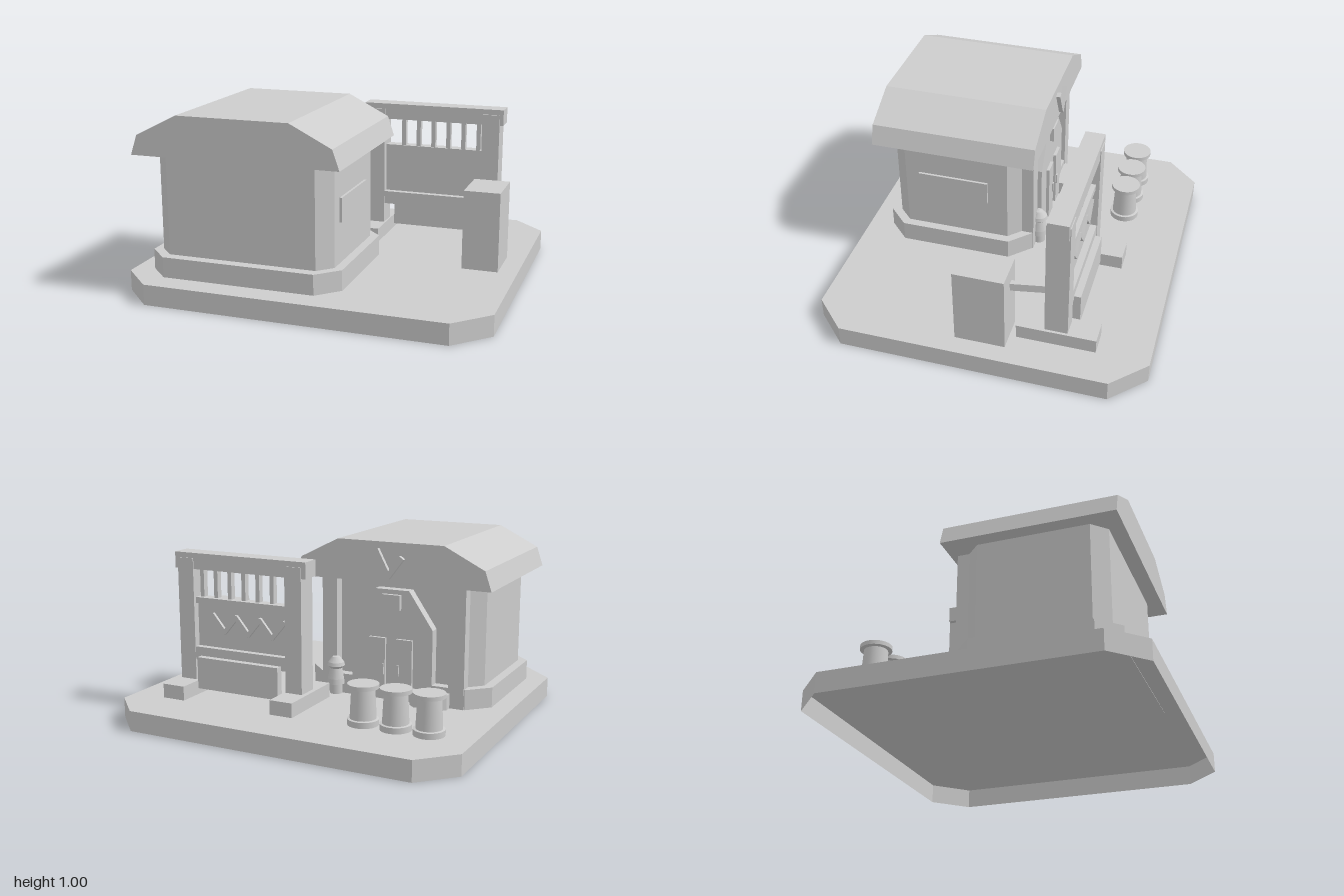
import * as THREE from 'three';

export function createModel() {
  const model = new THREE.Group();
  const grey = new THREE.MeshStandardMaterial({ color: 0xcccccc, side: THREE.DoubleSide });
  grey.name = 'plainGrey';

  const add = (name, geometry, parent = model) => {
    const mesh = new THREE.Mesh(geometry, grey);
    mesh.name = name;
    parent.add(mesh);
    return mesh;
  };
  const group = (name) => {
    const g = new THREE.Group();
    g.name = name;
    model.add(g);
    return g;
  };
  // Box given by its limits on each axis
  const box = (name, x0, x1, y0, y1, z0, z1, parent) => {
    const mesh = add(name, new THREE.BoxGeometry(x1 - x0, y1 - y0, z1 - z0), parent);
    mesh.position.set((x0 + x1) / 2, (y0 + y1) / 2, (z0 + z1) / 2);
  };
  const outline = (points) => new THREE.Shape(points.map(([x, y]) => new THREE.Vector2(x, y)));
  // Outline in x and y, extruded from z0 to z1
  const slab = (name, points, z0, z1, parent) => {
    const g = new THREE.ExtrudeGeometry(outline(points), { depth: z1 - z0, bevelEnabled: false });
    return add(name, g.translate(0, 0, z0), parent);
  };
  // Outline in x and -z, extruded upwards
  const upright = (name, points, y0, y1, parent) => {
    const mesh = slab(name, points, y0, y1, parent);
    mesh.geometry.rotateX(-Math.PI / 2);
    return mesh;
  };
  // Rectangle with cut corners, counter-clockwise
  const cutRect = (w, d, cut) => [[w - cut, -d], [w, cut - d], [w, d - cut], [w - cut, d],
    [cut - w, d], [-w, d - cut], [-w, cut - d], [cut - w, -d]];
  const octagon = (name, x0, x1, z0, z1, y0, y1, cut, parent) => {
    const pts = cutRect((x1 - x0) / 2, (z1 - z0) / 2, cut);
    upright(name, pts, y0, y1, parent).position.set((x0 + x1) / 2, 0, (z0 + z1) / 2);
  };
  // Flat bar between two points in x and y
  const bar = (name, a, b, z0, z1, width, parent) => {
    const dx = b[0] - a[0], dy = b[1] - a[1];
    const mesh = add(name, new THREE.BoxGeometry(Math.hypot(dx, dy) + width * 0.6, width, z1 - z0), parent);
    mesh.position.set((a[0] + b[0]) / 2, (a[1] + b[1]) / 2, (z0 + z1) / 2);
    mesh.rotation.z = Math.atan2(dy, dx);
  };
  // Each band is turned separately so that the rims stay sharp
  const lathe = (name, points, x, z, sides, parent) => {
    const g = new THREE.Group();
    g.name = name;
    g.position.set(x, 0, z);
    for (let i = 0; i < points.length - 1; i++) {
      const pair = [points[i], points[i + 1]].map(([r, y]) => new THREE.Vector2(r, y));
      add(name + 'Band', new THREE.LatheGeometry(pair, sides), g);
    }
    parent.add(g);
  };

  // Base: a top and a rim, open underneath
  const base = group('base');
  const floor = 0.113;
  const rim = cutRect(1, 0.91, 0.18);
  add('baseTop', new THREE.ShapeGeometry(outline(rim)).rotateX(-Math.PI / 2), base).position.y = floor;
  rim.forEach(([x, y], i) => {
    const [nx, ny] = rim[(i + 1) % rim.length];
    const side = add('baseRim', new THREE.PlaneGeometry(Math.hypot(nx - x, ny - y), floor), base);
    side.position.set((x + nx) / 2, floor / 2, -(y + ny) / 2);
    side.rotation.y = Math.atan2(ny - y, nx - x);
  });

  // Hut body
  const hut = group('hut');
  const mid = -0.345;
  octagon('plinth', -0.89, 0.195, -0.09, 0.773, 0.11, 0.225, 0.115, hut);
  octagon('walls', -0.84, 0.147, -0.035, 0.715, 0.2, 0.8, 0.077, hut);
  slab('roof', [[-0.92, 0.777], [0.23, 0.777], [0.193, 0.885], [-0.035, 1], [-0.655, 1], [-0.883, 0.885]],
    -0.13, 0.795, hut);
  box('sidePanel', 0.14, 0.161, 0.447, 0.58, 0.155, 0.56, hut);

  // Rear entrance
  const entrance = group('entrance');
  slab('arch', [[mid - 0.24, floor], [mid + 0.24, floor], [mid + 0.24, 0.53], [mid + 0.1, 0.735],
    [mid - 0.1, 0.735], [mid - 0.24, 0.53]], -0.092, -0.03, entrance);
  for (const side of [-1, 1]) {
    const px = mid + side * 0.38;
    box('pillar', px - 0.045, px + 0.045, floor, 0.79, -0.093, -0.02, entrance);
    const dx = mid + side * 0.08;
    box('door', dx - 0.048, dx + 0.048, 0.125, 0.465, -0.11, -0.09, entrance);
    const hx = mid + side * 0.045;
    box('doorHandle', hx - 0.008, hx + 0.008, 0.26, 0.32, -0.118, -0.1, entrance);
  }
  bar('gableMark', [mid, 0.818], [-0.275, 0.95], -0.154, -0.12, 0.03, entrance);
  bar('gableMark', [mid, 0.818], [-0.418, 0.915], -0.154, -0.12, 0.03, entrance);
  box('doorSign', mid - 0.055, mid + 0.055, 0.625, 0.71, -0.115, -0.09, entrance);
  upright('cutCornerBlock', [[-0.69, 0.08], [-0.475, 0.08], [-0.475, 0.135], [-0.51, 0.165],
    [-0.66, 0.165], [-0.69, 0.135]], floor, 0.195, entrance);

  // Small lantern beside the entrance
  lathe('lantern', [[0.035, floor], [0.035, 0.165], [0.05, 0.17], [0.047, 0.2], [0.034, 0.26], [0.05, 0.275],
    [0.045, 0.295], [0.022, 0.325], [0, 0.33]], -0.01, -0.105, 12, entrance);

  // Gate: feet, posts, beam, slats and boards
  const gate = group('gate');
  for (const [foot, post] of [[-0.015, 0.01], [0.67, 0.69]]) {
    box('foot', foot, foot + 0.135, floor, 0.193, -0.625, -0.195, gate);
    box('post', post, post + 0.1, 0.19, 0.885, -0.47, -0.345, gate);
  }
  box('topBeam', -0.015, 0.81, 0.825, 0.915, -0.465, -0.355, gate);
  box('board', 0.1, 0.7, 0.38, 0.663, -0.43, -0.385, gate);
  box('upperRail', 0.1, 0.7, 0.63, 0.665, -0.45, -0.385, gate);
  box('lowerRail', 0.1, 0.7, 0.31, 0.385, -0.467, -0.348, gate);
  box('lowerBoard', 0.14, 0.655, 0.155, 0.335, -0.505, -0.46, gate);
  for (let i = 0; i < 6; i++) {
    const x = 0.215 + i * 0.0895;
    box('slat', x - 0.012, x + 0.012, 0.66, 0.83, -0.425, -0.39, gate);
    const zx = 0.13 + i * 0.076;
    const ys = i % 2 ? [0.48, 0.57] : [0.57, 0.48];
    bar('zigzag', [zx, ys[0]], [zx + 0.076, ys[1]], -0.447, -0.42, 0.024, gate);
  }

  // Cabinet with a brace to the gate
  const cabinet = group('cabinet');
  box('cabinetBox', 0.695, 0.895, floor, 0.553, -0.16, 0.115, cabinet);
  const brace = add('brace', new THREE.BoxGeometry(0.03, 0.045, 0.24), cabinet);
  brace.position.set(0.76, 0.441, -0.25);
  brace.rotation.y = 0.17;

  // Row of barrels
  const barrels = group('barrels');
  for (const x of [-0.755, -0.572, -0.389]) {
    lathe('barrel', [[0.083, floor], [0.083, 0.145], [0.07, 0.148], [0.062, 0.307],
      [0.083, 0.31], [0.083, 0.332], [0, 0.332]], x, -0.54, 24, barrels);
  }
  return model;
}
